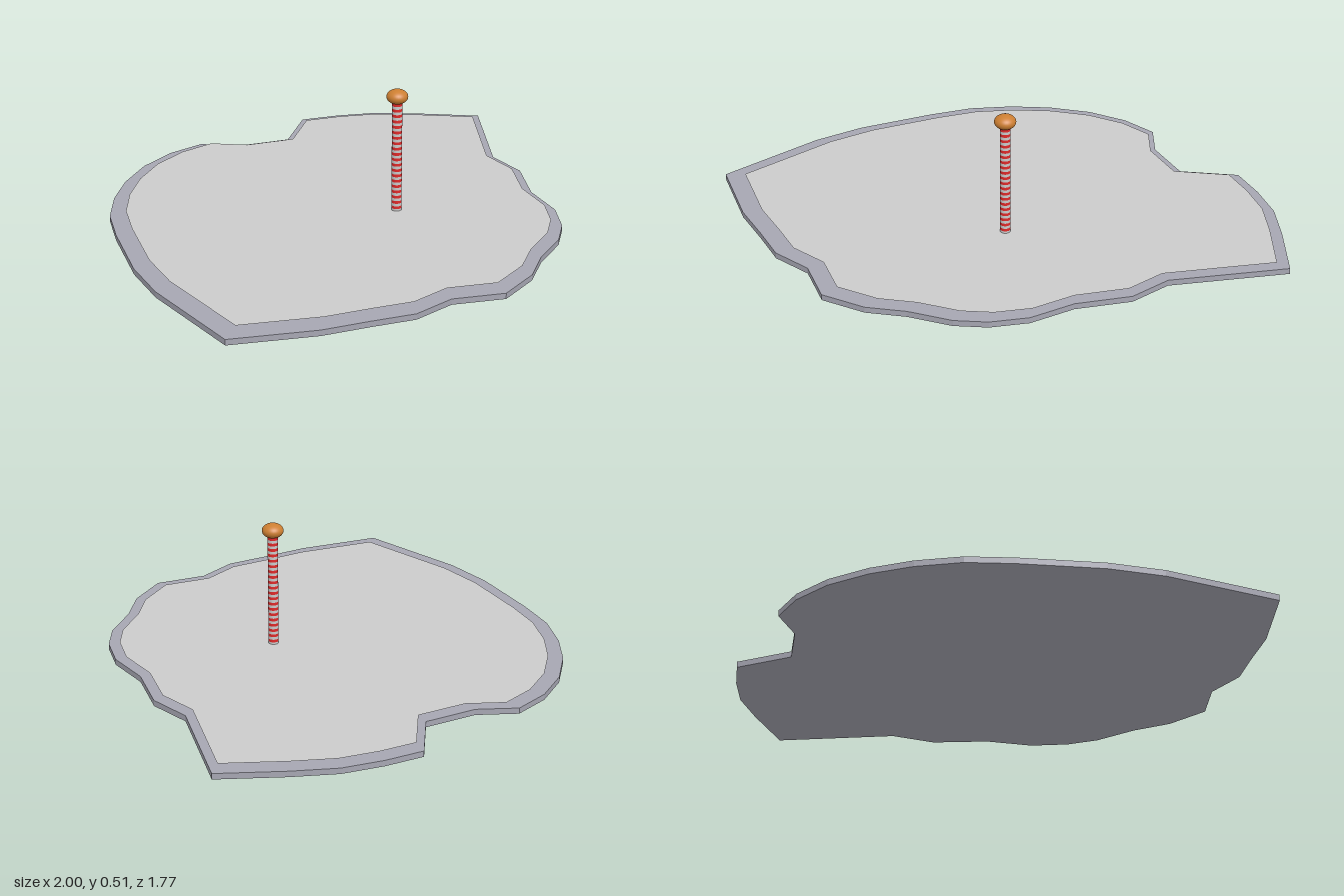
import * as THREE from 'three';

// Coastline of the slab as [x, z] corners
const OUTLINE = [
  [-0.22, -0.89], [-0.07, -0.89], [0.04, -0.78], [0.23, -0.71], [0.41, -0.845], [0.55, -0.79],
  [0.69, -0.715], [0.82, -0.6], [1, -0.42], [0.745, -0.05], [0.73, 0.12], [0.62, 0.3],
  [0.575, 0.475], [0.495, 0.595], [0.4, 0.675], [0.245, 0.745], [0.12, 0.83], [-0.05, 0.88],
  [-0.225, 0.795], [-0.39, 0.805], [-0.545, 0.75], [-0.715, 0.695], [-1, 0.55], [-0.975, 0.11],
  [-0.93, -0.09], [-0.82, -0.37], [-0.745, -0.525], [-0.64, -0.655], [-0.52, -0.76], [-0.375, -0.845],
];
const POLE = { x: 0.1, z: 0.12, radius: 0.019, bottom: 0.022, top: 0.47 };

const paint = (color, options = {}) => new THREE.MeshStandardMaterial({ color, ...options });

// Outline scaled about (cx, cz), ready to be laid flat
function outlineShape(scale = 1, cx = 0, cz = 0) {
  return new THREE.Shape(OUTLINE.map(([x, z]) =>
    new THREE.Vector2(cx + (x - cx) * scale, -(cz + (z - cz) * scale))));
}

function addMesh(parent, name, geometry, material) {
  const mesh = new THREE.Mesh(geometry, material);
  mesh.name = name;
  parent.add(mesh);
  return mesh;
}

export function createModel() {
  const model = new THREE.Group();
  model.name = 'mapWithPole';

  // Thick ground slab
  const slab = new THREE.ExtrudeGeometry(outlineShape(), { depth: 0.022, bevelEnabled: false });
  slab.rotateX(-Math.PI / 2);
  addMesh(model, 'groundSlab', slab, paint(0xa6a6b2));

  // Thin surface sheet floating just above the slab
  const sheet = new THREE.ShapeGeometry(outlineShape(0.941, 0.21, -0.12));
  sheet.rotateX(-Math.PI / 2);
  addMesh(model, 'surfaceSheet', sheet, paint(0xcccccc, { side: THREE.DoubleSide })).position.y = 0.035;

  // Pole of alternating red and grey bands
  const pole = new THREE.Group();
  pole.name = 'stripedPole';
  pole.position.set(POLE.x, 0, POLE.z);
  model.add(pole);
  const bands = 42;
  const height = (POLE.top - POLE.bottom) / bands;
  const band = new THREE.CylinderGeometry(POLE.radius, POLE.radius, height, 24);
  const red = paint(0xe02828);
  const grey = paint(0xcccccc);
  for (let i = 0; i < bands; i++) {
    const isRed = i % 2 === 0;
    addMesh(pole, isRed ? 'redBand' : 'greyBand', band, isRed ? red : grey)
      .position.y = POLE.bottom + (i + 0.5) * height;
  }

  // Flattened copper knob on top
  const knob = addMesh(pole, 'knob', new THREE.SphereGeometry(0.04, 32, 20), paint(0xcd7f32));
  knob.scale.y = 0.68;
  knob.position.y = 0.483;

  return model;
}
